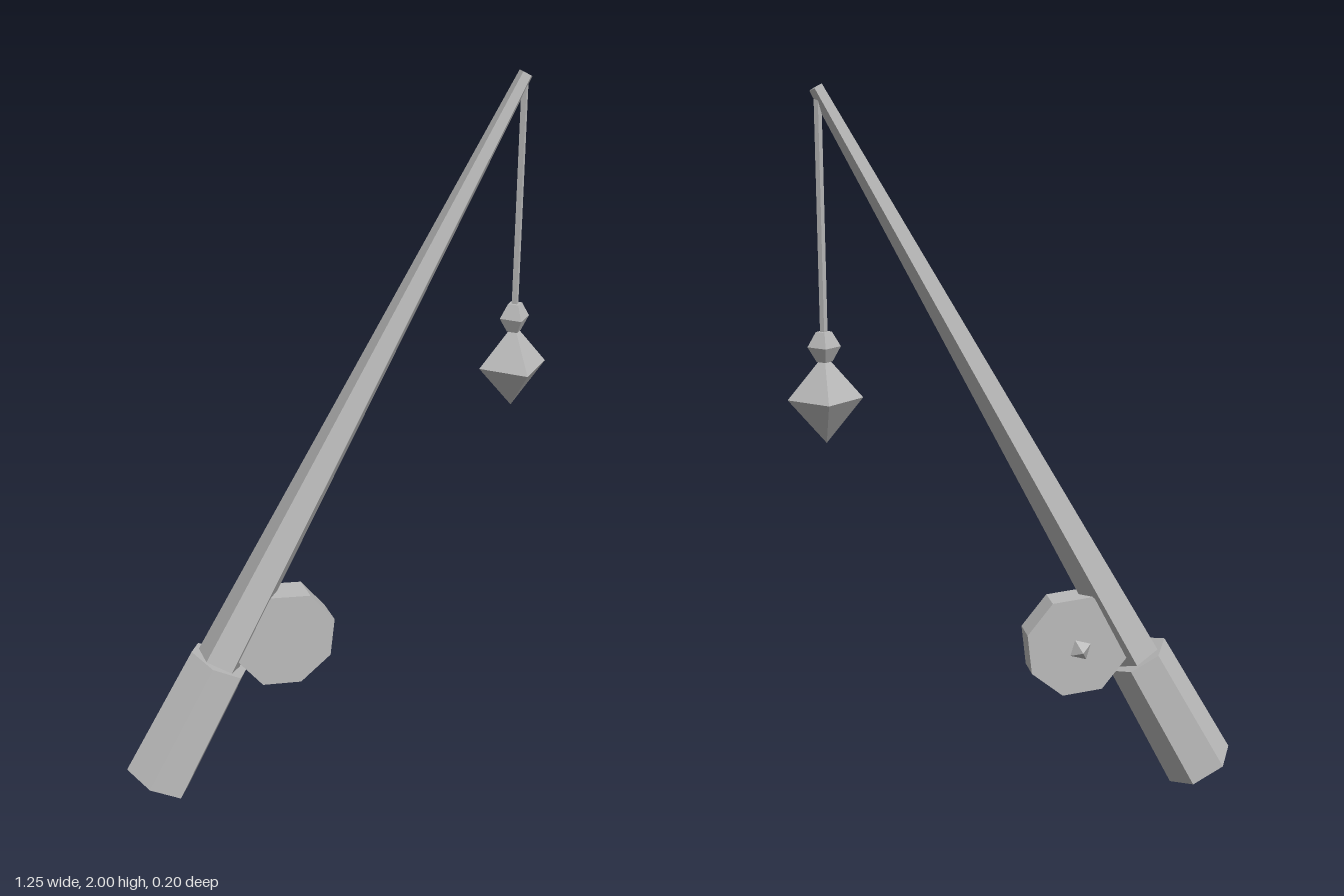
import * as THREE from 'three';

export function createModel() {
  const model = new THREE.Group();
  model.name = 'fishingRod';
  const grey = new THREE.MeshStandardMaterial({ color: 0xbbbbbb, flatShading: true });
  grey.name = 'plain grey';

  const add = (parent, name, geometry, x = 0, y = 0, z = 0) => {
    const mesh = new THREE.Mesh(geometry, grey);
    mesh.name = name;
    mesh.position.set(x, y, z);
    parent.add(mesh);
    return mesh;
  };
  // Tapered prism along y with one corner facing +x
  const prism = (top, bottom, height, sides) =>
    new THREE.CylinderGeometry(top, bottom, height, sides, 1, false, Math.PI / 2);
  // Four-sided turned shape from [radius, height] pairs
  const turned = (points) =>
    new THREE.LatheGeometry(points.map(([r, y]) => new THREE.Vector2(r, y)), 4);

  // Leaning assembly: local y runs from the butt to the tip
  const rod = new THREE.Group();
  rod.name = 'rod';
  rod.position.set(-0.5375, 0.049, 0);
  rod.rotation.z = -THREE.MathUtils.degToRad(28.7);
  model.add(rod);

  // Six-sided grip and five-sided pole
  const gripLength = 0.4, tip = 2.212;
  add(rod, 'grip', prism(0.09, 0.1, gripLength, 6), 0, gripLength / 2);
  add(rod, 'pole', prism(0.02, 0.067, tip - gripLength, 5), 0, (tip + gripLength) / 2);

  // Octagonal reel with a knob on the back
  const reel = new THREE.CylinderGeometry(0.149, 0.149, 0.087, 8);
  reel.rotateX(Math.PI / 2);
  add(rod, 'reel', reel, 0.138, 0.535, 0);
  add(rod, 'reelKnob', new THREE.OctahedronGeometry(0.033), 0.136, 0.535, -0.072);

  // Hanging line, bead and bob
  const lineX = 0.522, lineTop = 1.98, lineBottom = 1.34;
  add(model, 'line', prism(0.01, 0.01, lineTop - lineBottom, 4), lineX, (lineTop + lineBottom) / 2);
  add(model, 'bead', turned([[0, -0.04], [0.021, -0.04], [0.044, 0], [0.021, 0.04], [0, 0.04]]), lineX, 1.32);
  add(model, 'bob', turned([[0, -0.12], [0.1, 0], [0, 0.12]]), lineX, 1.18);

  return model;
}
